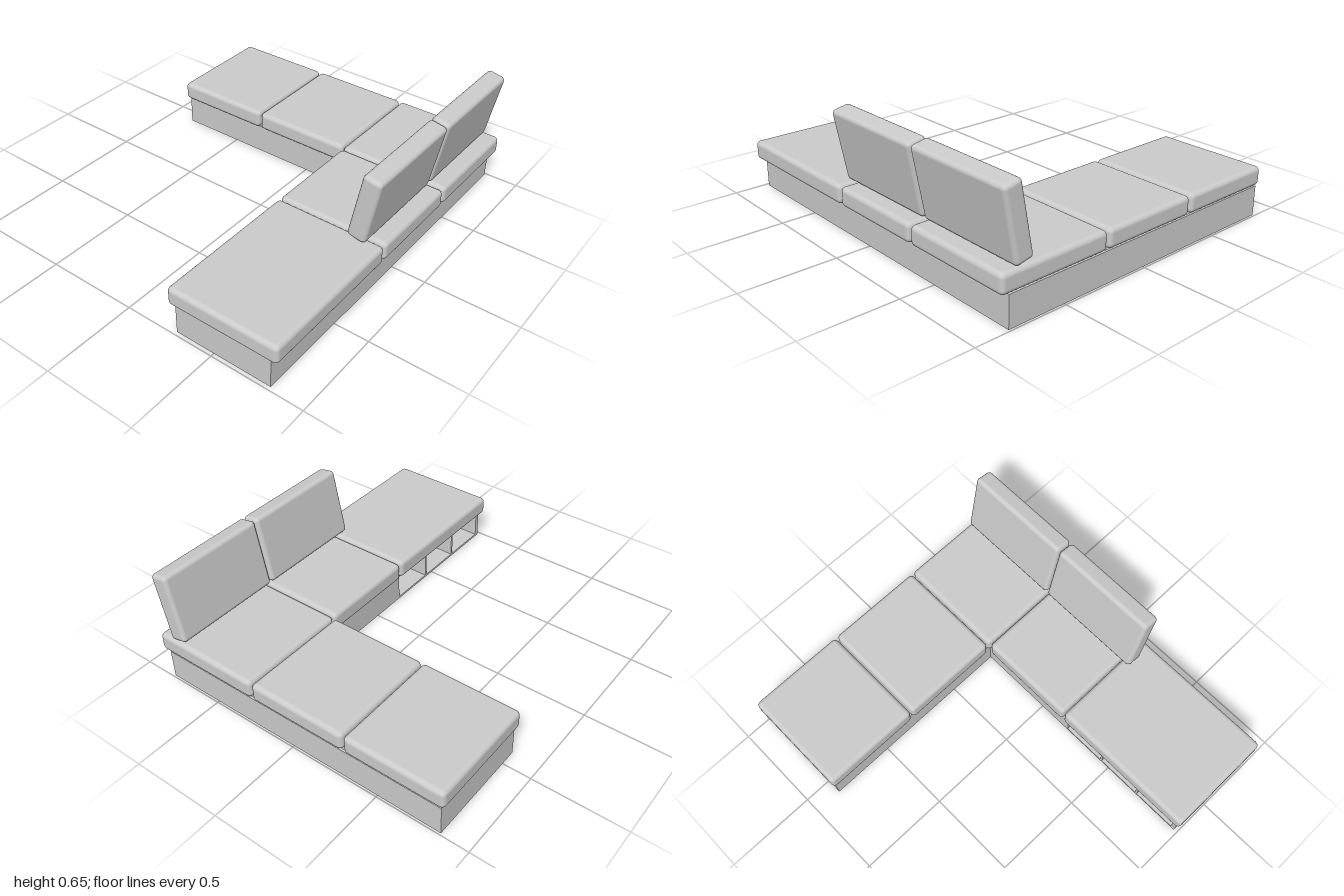
import * as THREE from 'three';
import { RoundedBoxGeometry } from 'three/addons/geometries/RoundedBoxGeometry.js';

const material = new THREE.MeshStandardMaterial({ color: 0xcccccc });

// Mesh filling the box between two corners; a radius rounds its edges
function block(name, [x0, x1], [y0, y1], [z0, z1], radius = 0) {
  const w = x1 - x0, h = y1 - y0, d = z1 - z0;
  const geometry = radius
    ? new RoundedBoxGeometry(w, h, d, 3, radius)
    : new THREE.BoxGeometry(w, h, d);
  const mesh = new THREE.Mesh(geometry, material);
  mesh.name = name;
  mesh.position.set((x0 + x1) / 2, (y0 + y1) / 2, (z0 + z1) / 2);
  return mesh;
}

export function createModel() {
  const model = new THREE.Group();
  model.name = 'cornerSofa';

  // Seat cushions: a row along the back, then a row coming forward
  const seats = new THREE.Group();
  seats.name = 'seatCushions';
  const seatY = [0.165, 0.267];
  const layout = [
    [[-0.865, -0.316], [-1, -0.39]],
    [[-0.308, 0.241], [-1, -0.39]],
    [[0.249, 0.861], [-1, -0.39]],
    [[0.249, 0.861], [-0.383, 0.166]],
    [[0.249, 0.861], [0.173, 1]],
  ];
  for (const [x, z] of layout) seats.add(block('seatCushion', x, seatY, z, 0.025));
  model.add(seats);

  // Leaning back cushions
  const backs = new THREE.Group();
  backs.name = 'backCushions';
  for (const z of [[-0.995, -0.387], [-0.38, 0.228]]) {
    const cushion = block('backCushion', [0.711, 0.813], [0.27, 0.645], z, 0.022);
    cushion.rotation.z = -0.19;
    backs.add(cushion);
  }
  model.add(backs);

  // L-shaped base: thin upright boards, open underneath
  const base = new THREE.Group();
  base.name = 'base';
  const t = 0.012, h = [0, 0.162];
  const left = -0.848, right = 0.815, inner = 0.282;
  const back = -0.99, step = -0.415, front = 0.98, shelfBack = 0.18;
  base.add(
    block('backBoard', [left, right], h, [back, back + t]),
    block('outerBoard', [right - t, right], h, [back + t, front - t]),
    block('frontBoard', [inner, right], h, [front - t, front]),
    block('endBoard', [left, left + t], h, [back + t, step - t]),
    block('stepBoard', [left, inner + t], h, [step - t, step]),
    block('innerBoard', [inner, inner + t], h, [step, shelfBack]),
  );
  model.add(base);

  // Three open cubbies under the long end seat, facing inward
  const shelf = new THREE.Group();
  shelf.name = 'cubbyShelf';
  const deep = 0.67, z = [shelfBack, front - t];
  shelf.add(
    block('shelfFloor', [inner, deep], [0, t], z),
    block('shelfTop', [inner, deep], [h[1] - t, h[1]], z),
    block('shelfBack', [deep - t, deep], [t, h[1] - t], z),
  );
  for (let i = 0; i <= 3; i++) {
    const dz = z[0] + (i * (z[1] - z[0] - t)) / 3;
    shelf.add(block('shelfDivider', [inner, deep - t], [t, h[1] - t], [dz, dz + t]));
  }
  model.add(shelf);

  return model;
}
